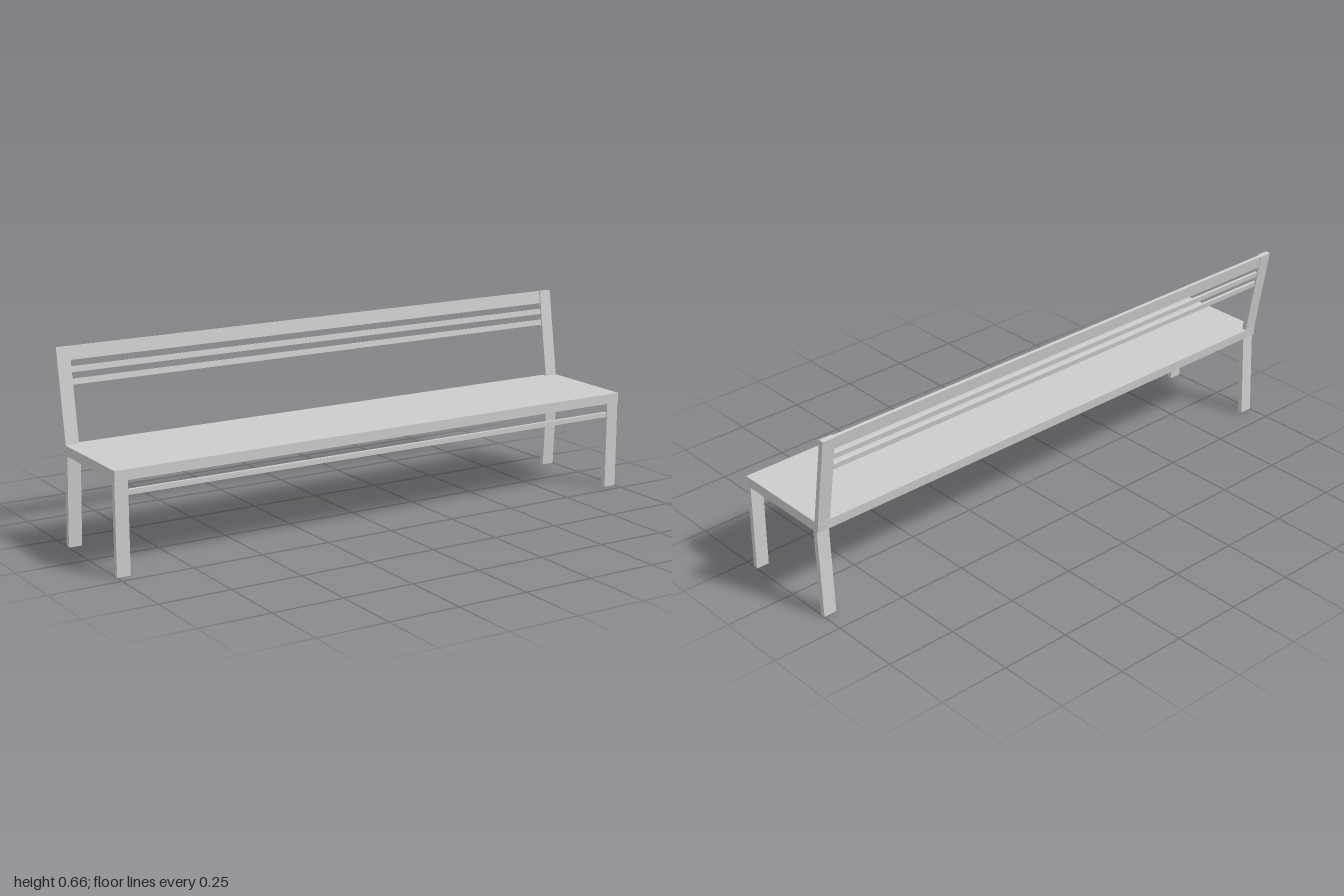
import * as THREE from 'three';

const material = new THREE.MeshStandardMaterial({ color: 0xcccccc, flatShading: true });

// Prism running along x from x0 to x1, with a cross-section of [z, y] corners
function prism(name, x0, x1, section) {
  const shape = new THREE.Shape(section.map(([z, y]) => new THREE.Vector2(-z, y)));
  const geometry = new THREE.ExtrudeGeometry(shape, { depth: x1 - x0, bevelEnabled: false });
  geometry.rotateY(Math.PI / 2);
  geometry.translate(x0, 0, 0);
  const mesh = new THREE.Mesh(geometry, material);
  mesh.name = name;
  return mesh;
}

// Cross-section of a backrest member on the reclined line between two heights,
// set in from the front and back faces of the post
function reclined(y0, y1, frontInset = 0, backInset = 0) {
  const z = y => -0.148 - (y - 0.347) * 0.159;
  const depth = 0.017, drop = 0.159;
  const at = (y, d) => [z(y) - d, y - d * drop];
  return [at(y0, frontInset), at(y1, frontInset), at(y1, depth - backInset), at(y0, depth - backInset)];
}

export function createModel() {
  const bench = new THREE.Group();
  bench.name = 'bench';

  // Seat slab
  bench.add(prism('seat', -1, 1, [[0.217, 0.312], [0.217, 0.347], [-0.167, 0.347], [-0.163, 0.312]]));

  // Legs and backrest posts at both ends
  for (const [side, x0] of [['left', 0.953], ['right', -1]]) {
    const x1 = x0 + 0.047;
    bench.add(prism(side + 'FrontLeg', x0, x1, [[0.214, 0], [0.214, 0.312], [0.197, 0.312], [0.197, 0]]));
    bench.add(prism(side + 'BackLeg', x0, x1, [[-0.153, 0], [-0.138, 0.312], [-0.156, 0.312], [-0.17, 0.001]]));
    bench.add(prism(side + 'BackPost', x0, x1, reclined(0.346, 0.662)));
  }

  // Rail between the front legs
  bench.add(prism('frontRail', -0.953, 0.953, [[0.212, 0.262], [0.212, 0.279], [0.199, 0.279], [0.199, 0.262]]));

  // Backrest: wide top rail and two narrow slats
  bench.add(prism('topRail', -0.953, 0.953, reclined(0.617, 0.662, 0.004, 0.002)));
  bench.add(prism('upperSlat', -0.953, 0.953, reclined(0.577, 0.596, 0.005, 0.003)));
  bench.add(prism('lowerSlat', -0.953, 0.953, reclined(0.537, 0.556, 0.005, 0.003)));

  return bench;
}
